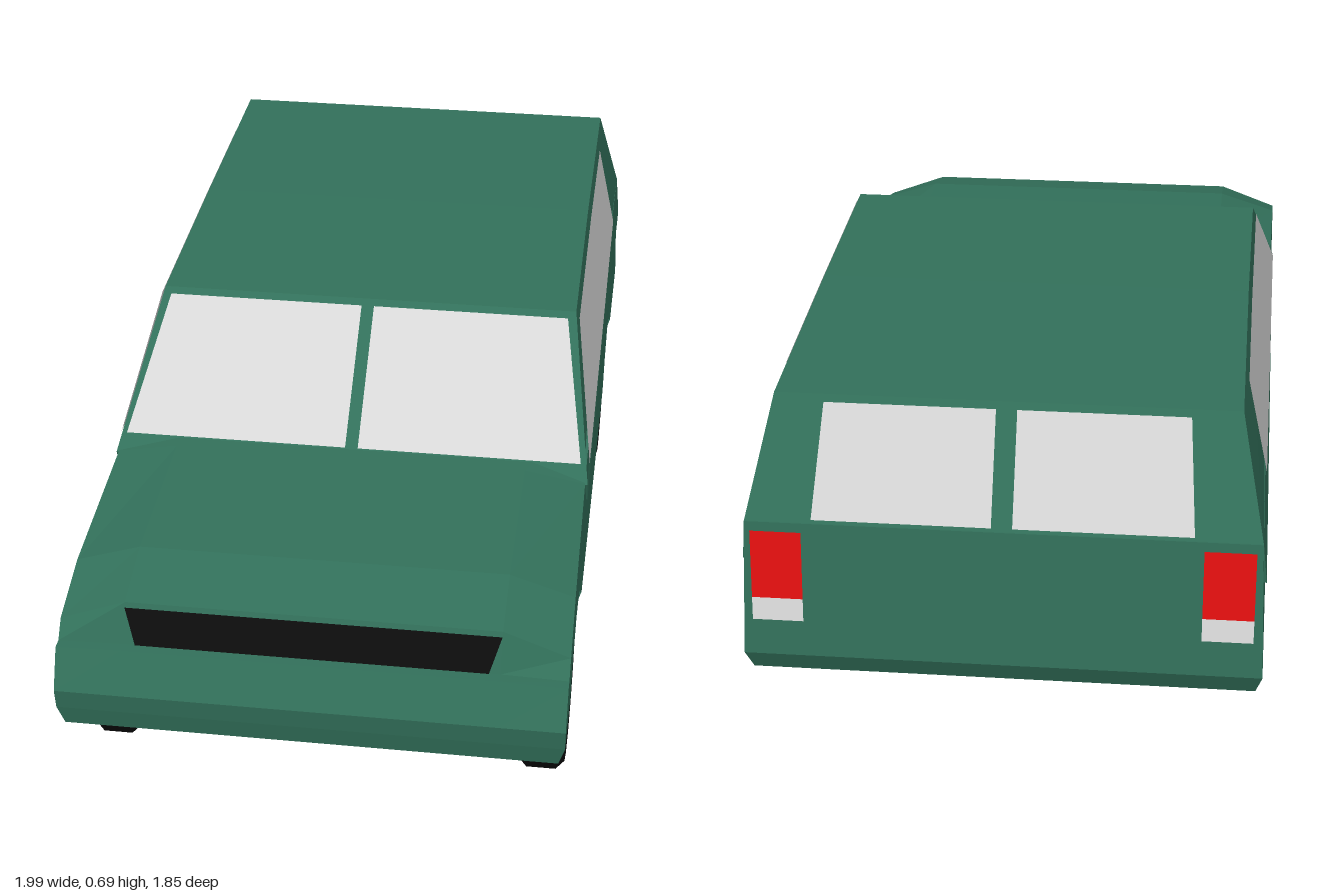
import * as THREE from 'three';

const paint = (name, color, side = THREE.FrontSide) => {
  const m = new THREE.MeshStandardMaterial({ color, side });
  m.name = name;
  return m;
};

export function createModel() {
  const green = paint('body green', 0x32705a);
  const glass = paint('glass grey', 0xd6d6d6, THREE.DoubleSide);
  const black = paint('tyre black', 0x0d0d0d, THREE.DoubleSide);
  const rimGrey = paint('rim grey', 0x5c5c5c, THREE.DoubleSide);
  const spokeGrey = paint('spoke grey', 0x747474);
  const red = paint('lamp red', 0xee1010, THREE.DoubleSide);
  const white = paint('lamp white', 0xe0e0e0, THREE.DoubleSide);

  const car = new THREE.Group();
  car.name = 'car';
  const add = (name, geo, mat, parent = car) => {
    const mesh = new THREE.Mesh(geo, mat);
    mesh.name = name;
    parent.add(mesh);
    return mesh;
  };
  const flat = (geo) => {
    const g = geo.index ? geo.toNonIndexed() : geo;
    g.computeVertexNormals();
    return g;
  };

  // Half width of the outer skin at a height: tucked sill, upright door, leaning windows
  const halfWidth = (y) =>
    y < 0.25 ? 0.42 + 0.028 * Math.max(0, (y - 0.148) / 0.102)
             : Math.min(0.448, 0.44 - 0.215 * (y - 0.5));

  // Side profile of [z, y] points spanned across x; place(t, z, y) gives [x, y] for t = 0 or 1
  const slab = (profile, place) => {
    const shape = new THREE.Shape(profile.map(([z, y]) => new THREE.Vector2(-z, y)));
    const geo = new THREE.ExtrudeGeometry(shape, { depth: 1, steps: 1, bevelEnabled: false });
    const p = geo.attributes.position;
    for (let i = 0; i < p.count; i++) {
      const z = -p.getX(i), y = p.getY(i);
      const [nx, ny] = place(p.getZ(i) > 0.5 ? 1 : 0, z, y);
      p.setXYZ(i, nx, ny, z);
    }
    return flat(geo);
  };

  // Thin flat plate from its corners
  const plate = (corners) => {
    const pos = [];
    for (let i = 1; i < corners.length - 1; i++) pos.push(...corners[0], ...corners[i], ...corners[i + 1]);
    const geo = new THREE.BufferGeometry();
    geo.setAttribute('position', new THREE.Float32BufferAttribute(pos, 3));
    geo.computeVertexNormals();
    return geo;
  };

  const CORE = 0.33;
  const axles = [0.605, -0.496];
  const upperEdge = [
    [-0.915, 0.25], [-0.892, 0.5], [0.13, 0.5], [0.4, 0.487], [0.72, 0.47],
    [0.845, 0.437], [0.87, 0.365], [0.89, 0.365], [0.922, 0.29], [0.915, 0.25],
  ];

  // Centre of the body, with the floor and bonnet
  const floor = [[0.905, 0.21], [0.77, 0.165], [0.43, 0.148], [-0.32, 0.148], [-0.67, 0.165], [-0.895, 0.21]];
  add('bodyCore', slab([...upperEdge, ...floor], (t, z, y) => [t ? CORE : -CORE, y]), green);

  // Flanks with wheel arches; bonnet shoulders fall away outwards
  const arches = axles.flatMap((c) => [
    [c + 0.168, 0.25], [c + 0.13, 0.31], [c + 0.06, 0.352],
    [c - 0.06, 0.352], [c - 0.13, 0.31], [c - 0.168, 0.25],
  ]);
  const sills = [
    [[0.915, 0.25], [0.905, 0.21], [0.785, 0.17], [0.773, 0.25]],
    [[0.437, 0.25], [0.425, 0.148], [-0.316, 0.148], [-0.328, 0.25]],
    [[-0.664, 0.25], [-0.676, 0.165], [-0.895, 0.21], [-0.915, 0.25]],
  ];
  for (const s of [1, -1]) {
    const side = s > 0 ? 'left' : 'right';
    const place = (t, z, y) => {
      if ((t === 1) !== (s > 0)) return [s * CORE, y];
      const fade = THREE.MathUtils.clamp((y - 0.36) / 0.07, 0, 1);
      const drop = z > 0.14 ? (0.02 + 0.055 * (z - 0.4)) * fade : 0;
      return [s * halfWidth(y), y - drop];
    };
    add(side + 'Flank', slab([...upperEdge, ...arches], place), green);
    sills.forEach((sill) => add(side + 'Sill', slab(sill, place), green));
  }

  // Cabin shell with pillars and roof
  const cabin = [[0.4, 0.465], [0.128, 0.683], [-0.3, 0.694], [-0.785, 0.694], [-0.89, 0.498], [-0.88, 0.42], [0.38, 0.42]];
  add('cabin', slab(cabin, (t, z, y) => [(t ? 1 : -1) * halfWidth(y), y]), green);

  // Side, windscreen and rear window panes
  const sideWindow = [[0.352, 0.482], [0.128, 0.67], [-0.3, 0.68], [-0.64, 0.68], [-0.65, 0.505], [0.13, 0.503]];
  for (const s of [1, -1]) {
    add('sideWindow', plate(sideWindow.map(([z, y]) => [s * (halfWidth(y) + 0.004), y, z])), glass);

    const front = (t, x) => [s * x, 0.465 + 0.218 * t + 0.004, 0.4 - 0.272 * t + 0.003];
    add('windscreen', plate([front(0.11, 0.012), front(0.11, 0.432), front(0.95, 0.386), front(0.95, 0.012)]), glass);

    const rear = (y, x) => [s * x, y + 0.002, -0.89 + 0.5357 * (y - 0.498) - 0.004];
    add('rearWindow', plate([rear(0.505, 0.018), rear(0.505, 0.325), rear(0.682, 0.312), rear(0.682, 0.018)]), glass);

    // Tail lamps
    const tail = (y, x) => [s * x, y, -0.915 + 0.092 * (y - 0.25) - 0.004];
    const lamp = (y0, y1) => plate([tail(y0, 0.342), tail(y0, 0.43), tail(y1, 0.43), tail(y1, 0.342)]);
    add('tailLamp', lamp(0.36, 0.485), red);
    add('reverseLamp', lamp(0.318, 0.36), white);
  }

  // Grille
  add('grille', plate([
    [-0.31, 0.367, 0.874], [0.31, 0.367, 0.874], [0.33, 0.43, 0.852], [-0.33, 0.43, 0.852],
  ]), black);

  // Wheels: tyre ring, dished rim, spokes and hub, with the axle along x
  const ring = (pts) => new THREE.LatheGeometry(pts.map(([r, y]) => new THREE.Vector2(r, y)), 14);
  const tyreGeo = flat(ring([
    [0.108, -0.04], [0.14, -0.0425], [0.156, -0.027], [0.156, 0.027], [0.14, 0.0425], [0.108, 0.04], [0.108, -0.04],
  ]));
  const rimGeo = flat(ring([[0.107, -0.038], [0.1, 0.005], [0.03, 0.015], [0, 0.015]]));
  const lipGeo = flat(ring([[0.1, 0.005], [0.108, 0.038]]));
  for (const z of axles) for (const s of [1, -1]) {
    const wheel = new THREE.Group();
    wheel.name = (z > 0 ? 'front' : 'rear') + (s > 0 ? 'Left' : 'Right') + 'Wheel';
    add('tyre', tyreGeo, black, wheel);
    add('rim', rimGeo, rimGrey, wheel);
    add('rimLip', lipGeo, rimGrey, wheel);
    add('hub', new THREE.CylinderGeometry(0.02, 0.024, 0.02, 10), spokeGrey, wheel).position.y = 0.02;
    for (let i = 0; i < 10; i++) {
      const spoke = new THREE.BoxGeometry(0.088, 0.01, 0.01);
      spoke.translate(0.058, 0.018, 0).rotateY((i / 10) * Math.PI * 2);
      add('spoke', spoke, spokeGrey, wheel);
    }
    wheel.rotation.z = -s * Math.PI / 2;
    wheel.position.set(s * 0.398, 0.156, z);
    car.add(wheel);
  }

  // The car stands turned on the spot
  car.rotation.y = -0.891;
  const model = new THREE.Group();
  model.name = 'estateCar';
  model.add(car);
  return model;
}
